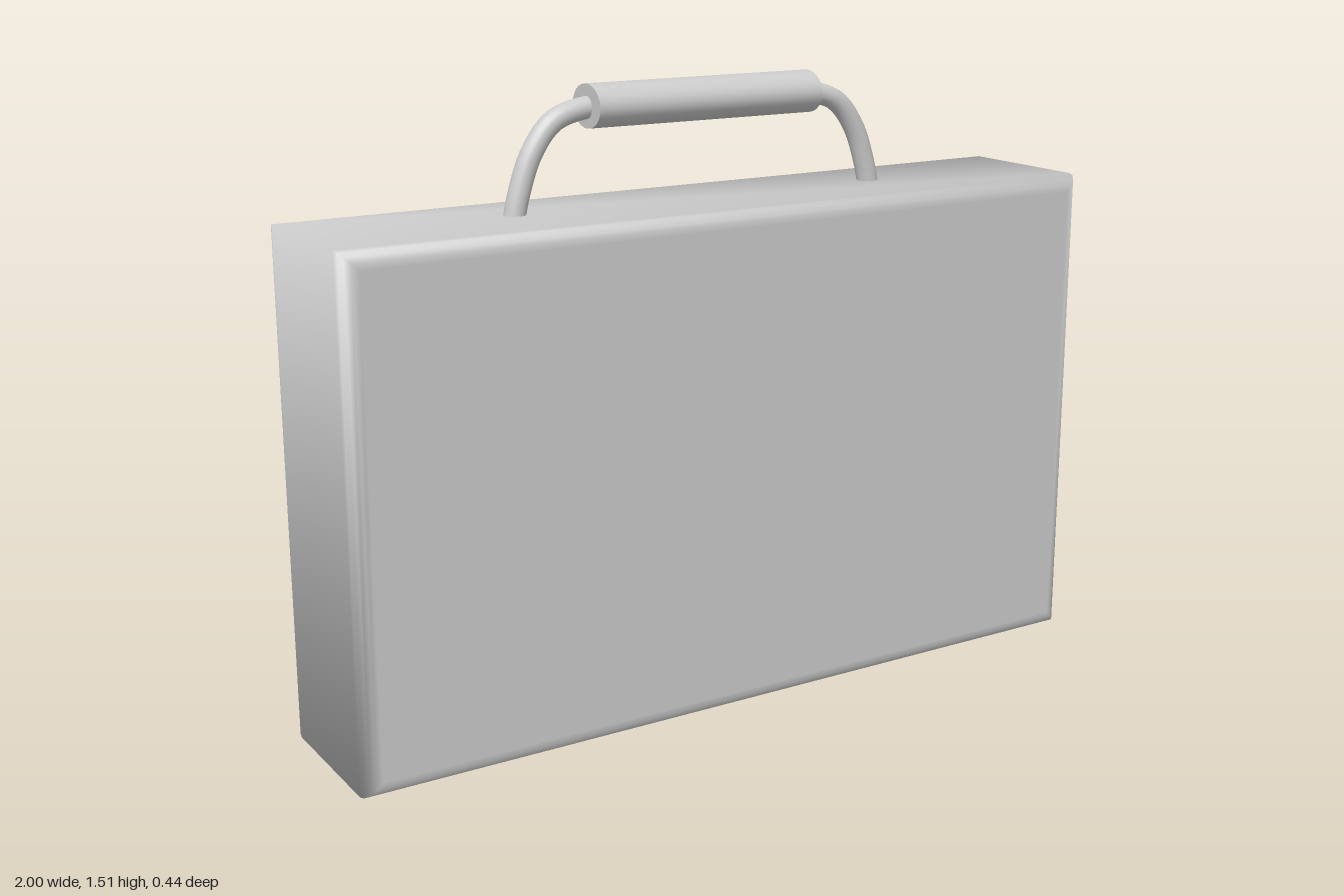
import * as THREE from 'three';
import { mergeVertices } from 'three/addons/utils/BufferGeometryUtils.js';

const W = 2, H = 1.225, D = 0.44, BEVEL = 0.04;
const HANDLE_Z = -0.007, HANDLE_Y = 1.458;

export function createModel() {
  const model = new THREE.Group();
  model.name = 'briefcase';
  const material = new THREE.MeshStandardMaterial({ color: 0xcccccc });

  const add = (name, geometry) => {
    const mesh = new THREE.Mesh(geometry, material);
    mesh.name = name;
    model.add(mesh);
    return mesh;
  };

  // Case: a rectangle with its front and back rims rounded, softly shaded
  const x = W / 2 - BEVEL;
  const outline = new THREE.Shape([
    new THREE.Vector2(-x, BEVEL), new THREE.Vector2(x, BEVEL),
    new THREE.Vector2(x, H - BEVEL), new THREE.Vector2(-x, H - BEVEL),
  ]);
  let body = new THREE.ExtrudeGeometry(outline, {
    depth: D - 2 * BEVEL, bevelSize: BEVEL, bevelThickness: BEVEL, bevelSegments: 4,
  });
  body.translate(0, 0, BEVEL - D / 2);
  body.deleteAttribute('uv');
  body.deleteAttribute('normal');
  body = mergeVertices(body, 1e-4);
  body.computeVertexNormals();
  add('caseBody', body);

  // Handle bar: one bent rod, its feet sunk into the lid
  const half = [[0.498, 1.2], [0.482, 1.27], [0.447, 1.362], [0.39, 1.43], [0.3, 1.456], [0.15, HANDLE_Y]];
  const points = [
    ...half.map(([px, py]) => new THREE.Vector3(-px, py, HANDLE_Z)),
    ...half.slice().reverse().map(([px, py]) => new THREE.Vector3(px, py, HANDLE_Z)),
  ];
  add('handleBar', new THREE.TubeGeometry(new THREE.CatmullRomCurve3(points), 64, 0.026, 20));

  // Grip: a slightly flattened sleeve around the bar
  const grip = new THREE.CylinderGeometry(1, 1, 0.61, 40);
  grip.rotateZ(Math.PI / 2);
  grip.scale(1, 0.051, 0.066);
  add('handleGrip', grip).position.set(0, HANDLE_Y, HANDLE_Z);

  return model;
}
